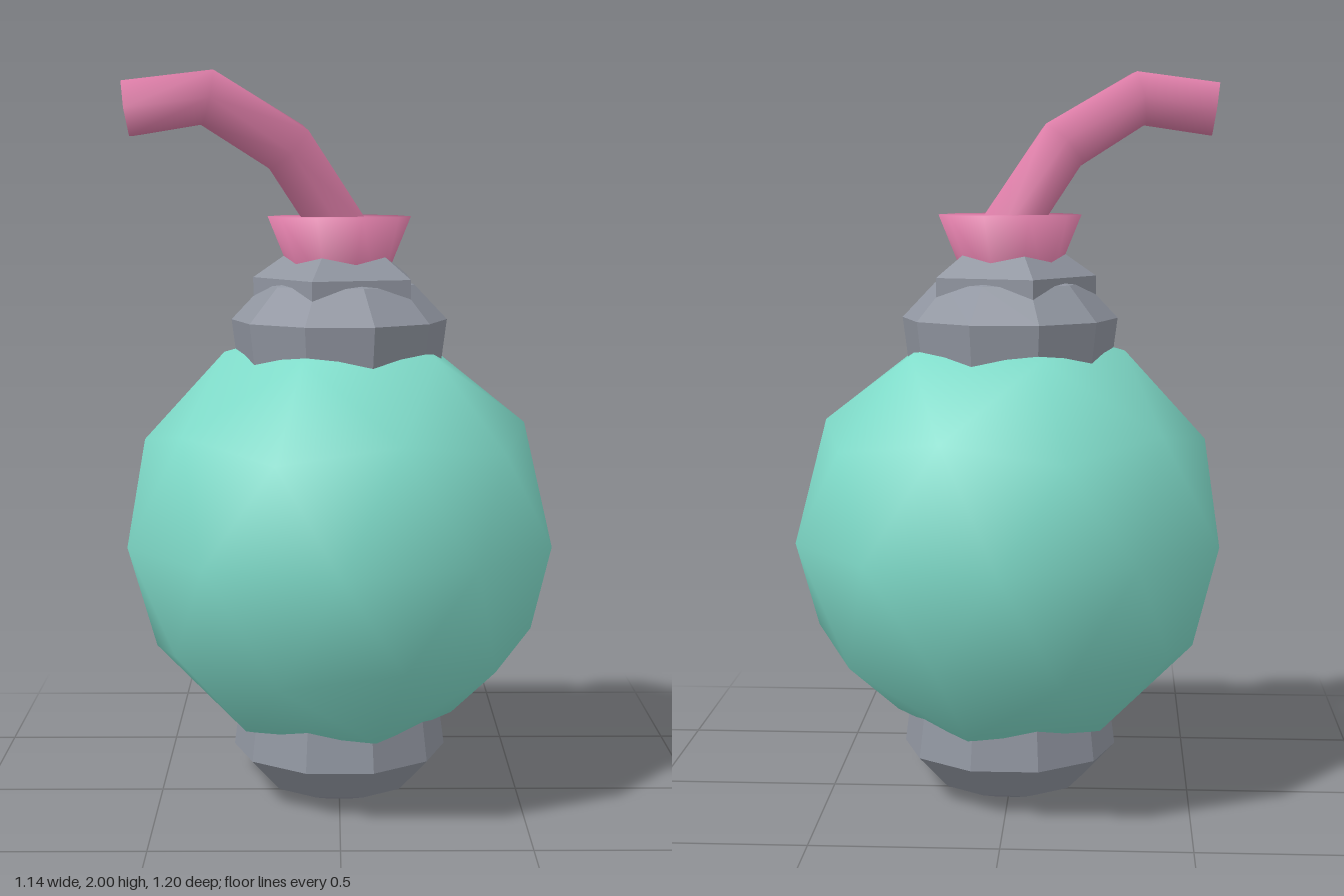
import * as THREE from 'three';

const paint = (name, color) => {
  const m = new THREE.MeshStandardMaterial({ color });
  m.name = name;
  return m;
};

// Faceted or smooth lathe from [radius, y] points, listed bottom to top
function lathe(points, sides, start, faceted) {
  const g = new THREE.LatheGeometry(points.map(p => new THREE.Vector2(...p)), sides, start);
  if (!faceted) return g;
  const flat = g.toNonIndexed();
  flat.computeVertexNormals();
  return flat;
}

// Six-sided bent tube: one ring per path point, set across the bisector of the bend
function bentTube(path, radius, sides) {
  const pts = path.map(p => new THREE.Vector3(...p));
  const pos = [], index = [];
  pts.forEach((p, i) => {
    const t = new THREE.Vector3();
    if (i > 0) t.add(p.clone().sub(pts[i - 1]).normalize());
    if (i < pts.length - 1) t.add(pts[i + 1].clone().sub(p).normalize());
    t.normalize();
    const u = new THREE.Vector3(0, 0, 1).addScaledVector(t, -t.z).normalize();
    const v = t.clone().cross(u);
    for (let j = 0; j < sides; j++) {
      const a = (j / sides) * Math.PI * 2;
      const q = p.clone().addScaledVector(u, radius * Math.cos(a)).addScaledVector(v, radius * Math.sin(a));
      pos.push(q.x, q.y, q.z);
      if (i === 0) continue;
      const k = (j + 1) % sides, lo = (i - 1) * sides, hi = i * sides;
      index.push(lo + j, lo + k, hi + j, lo + k, hi + k, hi + j);
    }
  });
  const g = new THREE.BufferGeometry();
  g.setAttribute('position', new THREE.Float32BufferAttribute(pos, 3));
  g.setIndex(index);
  g.computeVertexNormals();
  // Flat end cap with its own vertices
  const ring = pos.slice(-sides * 3), capIndex = [];
  for (let j = 1; j < sides - 1; j++) capIndex.push(0, j, j + 1);
  const cap = new THREE.BufferGeometry();
  cap.setAttribute('position', new THREE.Float32BufferAttribute(ring, 3));
  cap.setIndex(capIndex);
  cap.computeVertexNormals();
  return [g, cap];
}

export function createModel() {
  const teal = paint('teal', 0x80dcca);
  const grey = paint('grey', 0x9095a0);
  const pink = paint('pink', 0xdb7ca6);
  const model = new THREE.Group();
  model.name = 'bomb';
  const add = (name, geometry, material) => {
    const m = new THREE.Mesh(geometry, material);
    m.name = name;
    model.add(m);
    return m;
  };

  // Round body, turned so that one corner points straight up
  const ball = new THREE.IcosahedronGeometry(0.6, 1);
  ball.rotateZ(Math.PI / 2 - Math.atan2((1 + Math.sqrt(5)) / 2, 1));
  add('body', ball, teal).position.y = 0.735;

  // Matching caps below and above the body
  const capProfile = [[0, 0], [0.09, 0], [0.205, 0.04], [0.295, 0.135], [0.28, 0.25]];
  add('bottomCap', lathe(capProfile, 10, Math.PI / 2, true), grey);
  const topProfile = capProfile.map(([r, y]) => [r, 1.47 - y]).reverse();
  add('topCap', lathe(topProfile, 10, Math.PI / 2, true), grey);

  // Five-sided collar
  add('collar', lathe([[0.235, 1.38], [0.235, 1.45], [0.12, 1.53]], 5, -Math.PI / 2, true), grey);

  // Flared fuse holder
  add('fuseHolder', lathe([[0.12, 1.43], [0.195, 1.615], [0, 1.615]], 10, Math.PI / 2, false), pink);

  // Bent fuse
  const [fuse, tip] = bentTube([
    [0.03, 1.54, -0.015], [-0.14, 1.8, 0.05], [-0.35, 1.93, 0.14], [-0.56, 1.9, 0.14],
  ], 0.083, 6);
  add('fuse', fuse, pink);
  add('fuseTip', tip, pink);

  return model;
}
